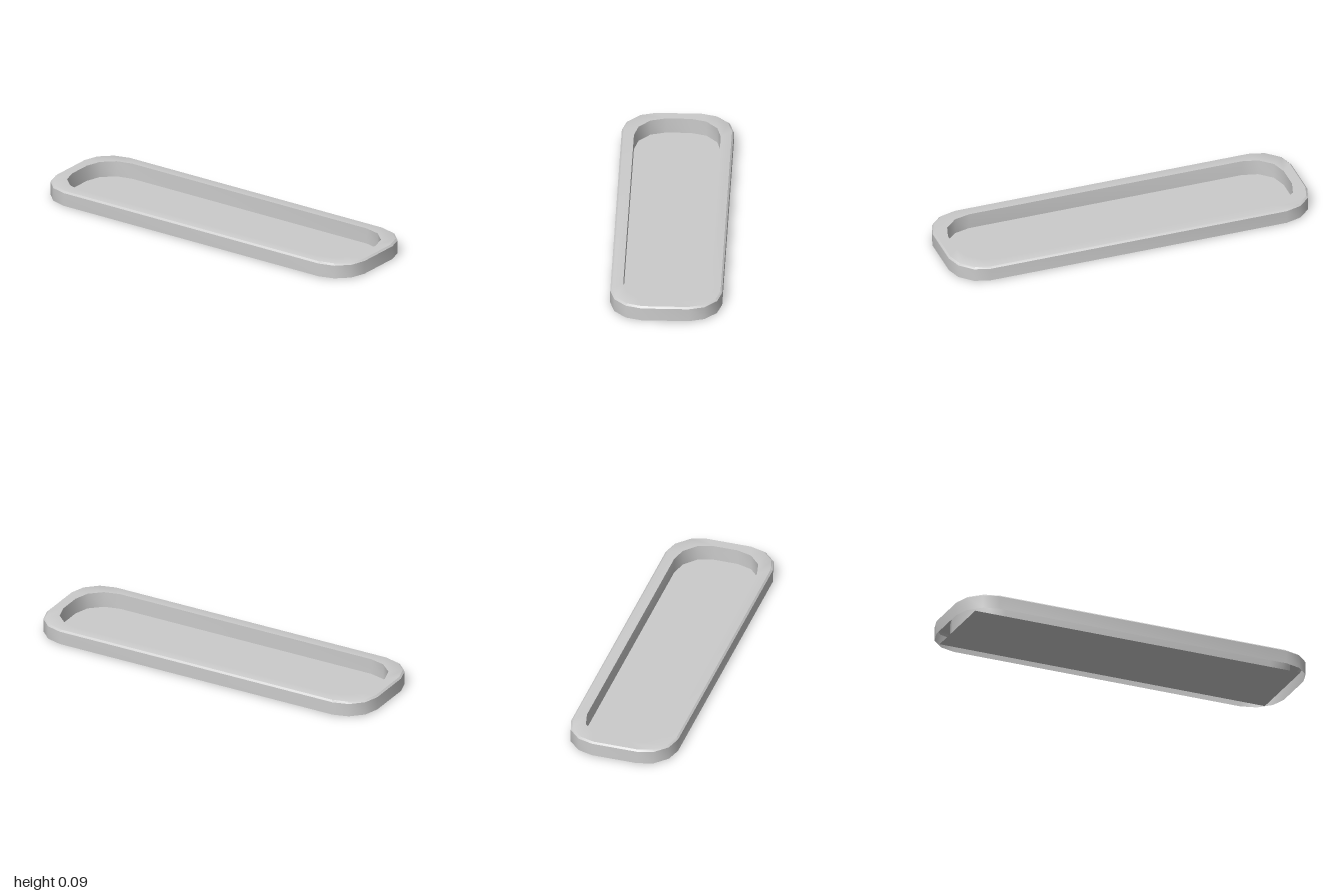
import * as THREE from 'three';
import { toCreasedNormals } from 'three/addons/utils/BufferGeometryUtils.js';

// Mirror one corner (x, z points, from the end towards the long side) into a closed loop
function mirrorCorner(corner) {
  const back = [...corner].reverse();
  return [
    ...corner,
    ...back.map(([x, z]) => [-x, z]),
    ...corner.map(([x, z]) => [-x, -z]),
    ...back.map(([x, z]) => [x, -z]),
  ];
}

const outer = mirrorCorner([[1, 0.125], [0.975, 0.207], [0.91, 0.27], [0.825, 0.294]]);
const inner = mirrorCorner([[0.936, 0.065], [0.911, 0.147], [0.845, 0.207], [0.76, 0.228]]);
const bevel = outer.map(([x, z]) => [x * 0.991, z * 0.969]);

// Skin a series of equal-length loops, each at its own height
function loft(rings) {
  const positions = [];
  const n = rings[0].loop.length;
  const at = (ring, i) => [ring.loop[i % n][0], ring.y, ring.loop[i % n][1]];
  for (let r = 0; r < rings.length - 1; r++) {
    for (let i = 0; i < n; i++) {
      const a = at(rings[r], i), b = at(rings[r], i + 1);
      const c = at(rings[r + 1], i + 1), d = at(rings[r + 1], i);
      positions.push(...a, ...d, ...c, ...a, ...c, ...b);
    }
  }
  const geometry = new THREE.BufferGeometry();
  geometry.setAttribute('position', new THREE.Float32BufferAttribute(positions, 3));
  return toCreasedNormals(geometry, 0.7);
}

export function createModel() {
  const model = new THREE.Group();
  model.name = 'tray';
  const material = new THREE.MeshStandardMaterial({ color: 0xcccccc, side: THREE.DoubleSide });

  // Hollow rim, open underneath: outer wall, bevel, flat top, inner wall
  const rim = new THREE.Mesh(loft([
    { loop: outer, y: 0.005 },
    { loop: outer, y: 0.077 },
    { loop: bevel, y: 0.086 },
    { loop: inner, y: 0.086 },
    { loop: inner, y: 0 },
  ]), material);
  rim.name = 'rim';

  // Thin rectangular floor closing the recess
  const floor = new THREE.Mesh(new THREE.PlaneGeometry(1.872, 0.456).rotateX(-Math.PI / 2), material);
  floor.name = 'floor';

  model.add(rim, floor);
  return model;
}
